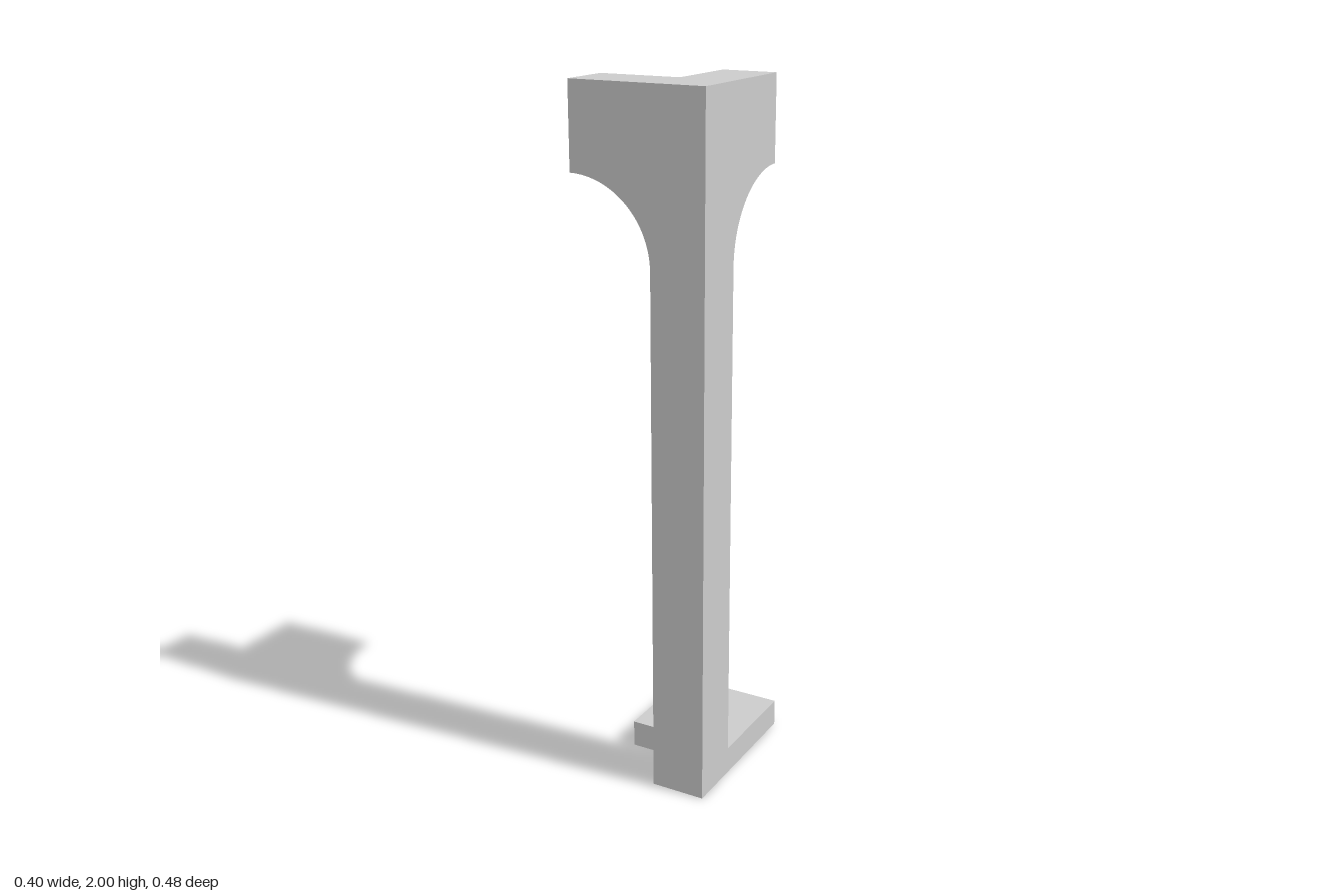
import * as THREE from 'three';

const T = 0.16;    // post thickness
const ARM = 0.24;  // arm reach, depth and curve radius
const TOP = 2;

export function createModel() {
  const group = new THREE.Group();
  const material = new THREE.MeshStandardMaterial({ color: 0xcccccc, flatShading: true });

  const add = (name, geometry, x, y, z, turn = 0) => {
    const mesh = new THREE.Mesh(geometry, material);
    mesh.name = name;
    mesh.position.set(x, y, z);
    mesh.rotation.y = turn;
    group.add(mesh);
  };

  // Square corner post
  add('post', new THREE.BoxGeometry(T, TOP, T), 0.12, TOP / 2, 0.16);

  // Arm profile: square block with a concave quarter-round brace beneath
  const profile = new THREE.Shape();
  profile.moveTo(0, TOP);
  profile.lineTo(0, TOP - 2 * ARM);
  profile.absarc(ARM, TOP - 2 * ARM, ARM, Math.PI, Math.PI / 2, true);
  profile.lineTo(ARM, TOP);
  profile.closePath();
  const armGeometry = new THREE.ExtrudeGeometry(profile, {
    depth: T, bevelEnabled: false, curveSegments: 16,
  });

  // Two arms at right angles, one toward -x and one toward -z
  add('frontArm', armGeometry, 0.04, 0, 0.24, Math.PI);
  add('sideArm', armGeometry, 0.04, 0, 0.08, Math.PI / 2);

  // Flat foot plate behind the post
  add('footPlate', new THREE.BoxGeometry(0.32, 0.08, 0.32), 0.04, 0.04, -0.08);

  return group;
}
